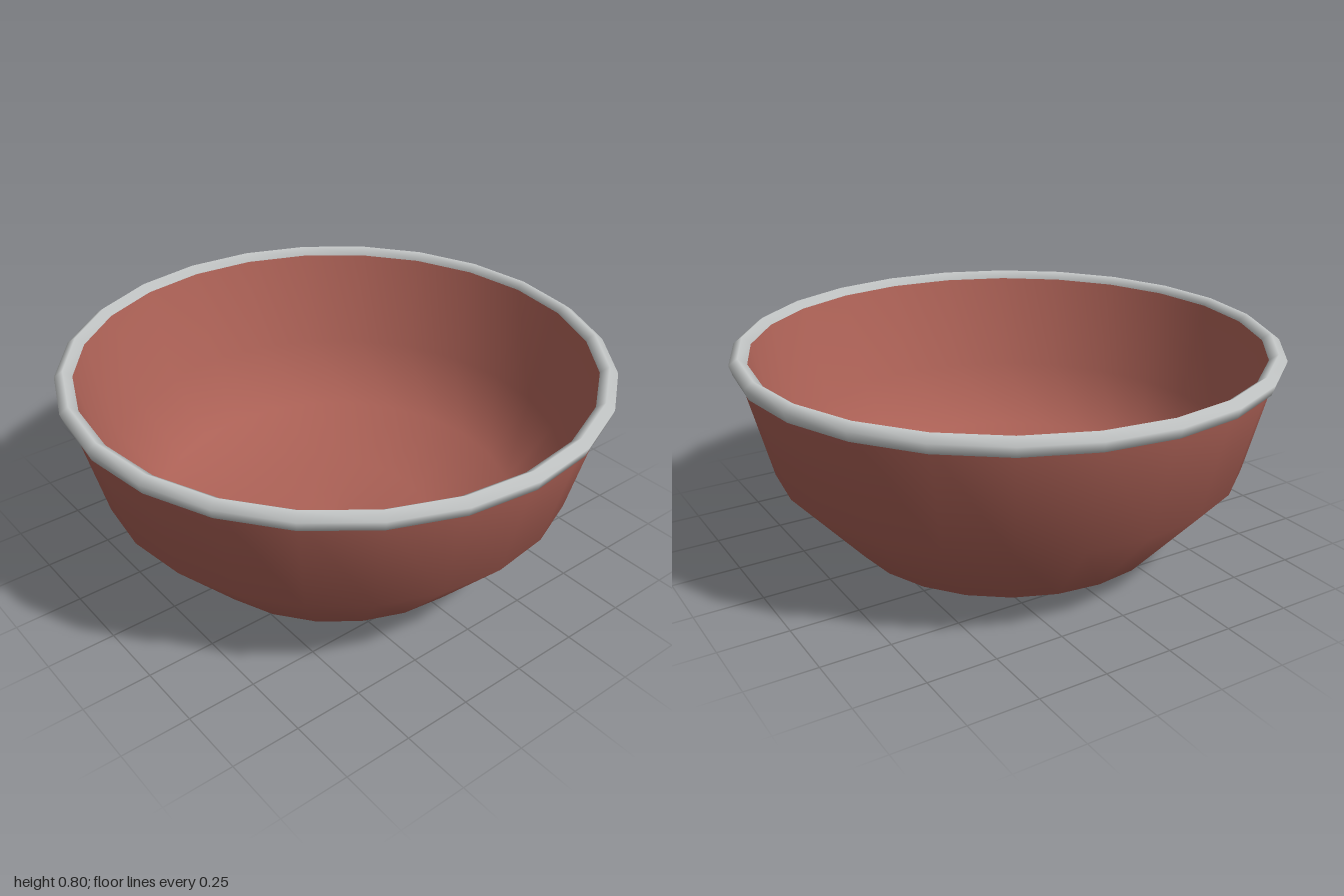
import * as THREE from 'three';

const SIDES = 24;

function turned(name, points, material) {
  const profile = points.map(([r, y]) => new THREE.Vector2(r, y));
  const mesh = new THREE.Mesh(new THREE.LatheGeometry(profile, SIDES), material);
  mesh.name = name;
  return mesh;
}

export function createModel() {
  const group = new THREE.Group();

  const clay = new THREE.MeshStandardMaterial({ color: 0xaa6055 });
  clay.name = 'clay red';
  const metal = new THREE.MeshStandardMaterial({ color: 0xc8cbcb });
  metal.name = 'rim grey';

  // Thick-walled bowl: foot and outer wall, over the lip, then down to the rounded floor
  group.add(turned('bowl', [
    [0, 0], [0.44, 0], [0.61, 0.052], [0.872, 0.347], [0.975, 0.757],
    [0.937, 0.768], [0.85, 0.4], [0.68, 0.18], [0.35, 0.09], [0, 0.07],
  ], clay));

  // Rolled rim with a five-sided section, one corner pointing up
  const section = [];
  for (let i = 0; i <= 5; i++) {
    const a = (-126 + i * 72) * Math.PI / 180;
    section.push([0.968 + 0.0335 * Math.cos(a), 0.762 + 0.0335 * Math.sin(a)]);
  }
  group.add(turned('rim', section, metal));

  return group;
}
